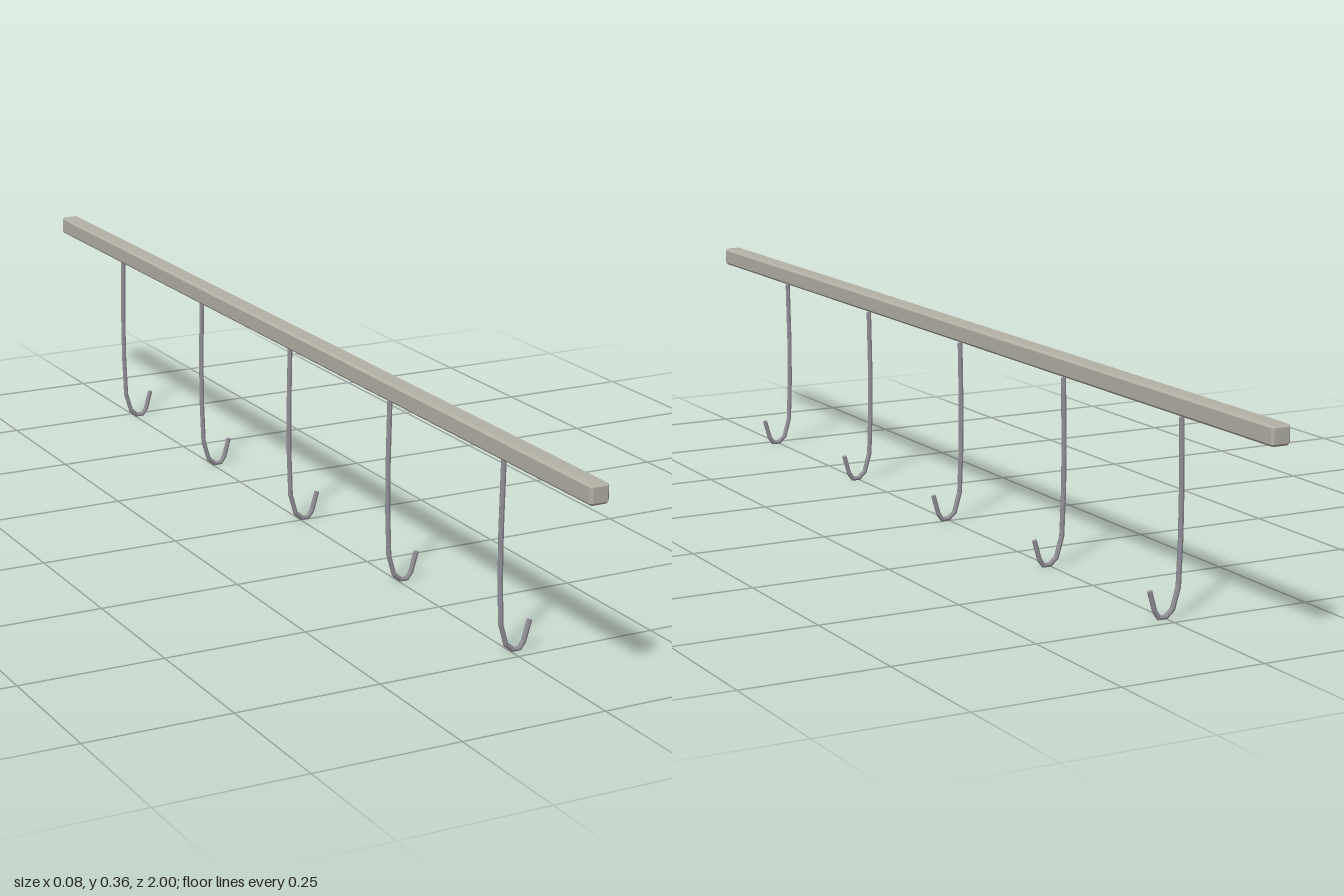
import * as THREE from 'three';
import { ConvexGeometry } from 'three/addons/geometries/ConvexGeometry.js';

const WIRE = 0.0045, SIDES = 8;

// Side profile of a hook's wire, from the top end to the tip
const HOOK = [
  [-0.0215, 0.325], [-0.0238, 0.21], [-0.0235, 0.13], [-0.0207, 0.052], [-0.0105, 0.0165],
  [0.002, 0.0055], [0.0145, 0.0055], [0.0225, 0.0165], [0.0325, 0.051],
].map(([x, y]) => new THREE.Vector3(x, y, 0));

// Straight segments with mitred corners, one tube ring per point
class Polyline extends THREE.Curve {
  constructor(points) { super(); this.points = points; }
  getPoint(t) {
    const n = this.points.length - 1, i = Math.min(Math.floor(t * n + 1e-6), n - 1);
    return this.points[i].clone().lerp(this.points[i + 1], t * n - i);
  }
  getPointAt(t) { return this.getPoint(t); }
  getTangentAt(t) {
    const n = this.points.length - 1, i = Math.round(t * n), p = this.points;
    const dir = (k) => p[k + 1].clone().sub(p[k]).normalize();
    return dir(Math.max(i - 1, 0)).add(dir(Math.min(i, n - 1))).normalize();
  }
}

// Box with every edge chamfered
function chamferedBox(w, h, d, c) {
  const points = [];
  for (const x of [-1, 1]) for (const y of [-1, 1]) for (const z of [-1, 1]) {
    for (let flush = 0; flush < 3; flush++) {
      const inset = [0, 1, 2].map((axis) => (axis === flush ? 0 : c));
      points.push(new THREE.Vector3(
        x * (w / 2 - inset[0]), y * (h / 2 - inset[1]), z * (d / 2 - inset[2])));
    }
  }
  return new ConvexGeometry(points);
}

export function createModel() {
  const group = new THREE.Group();
  const railMaterial = new THREE.MeshStandardMaterial({ color: 0xb3b1a4, flatShading: true });
  const hookMaterial = new THREE.MeshStandardMaterial({ color: 0x918f97, flatShading: true });

  // Rail running front to back
  const rail = new THREE.Mesh(chamferedBox(0.034, 0.033, 2, 0.004), railMaterial);
  rail.name = 'rail';
  rail.position.set(-0.0215, 0.3475, 0);
  group.add(rail);

  // Five bent wire hooks, each closed with end caps
  const path = new Polyline(HOOK);
  const wireGeometry = new THREE.TubeGeometry(path, HOOK.length - 1, WIRE, SIDES, false);
  const capGeometry = new THREE.CircleGeometry(WIRE, SIDES);
  const forward = new THREE.Vector3(0, 0, 1);
  for (let i = -2; i <= 2; i++) {
    const hook = new THREE.Group();
    hook.name = 'hook';
    const wire = new THREE.Mesh(wireGeometry, hookMaterial);
    wire.name = 'hookWire';
    hook.add(wire);
    for (const end of [0, 1]) {
      const cap = new THREE.Mesh(capGeometry, hookMaterial);
      cap.name = end ? 'hookTip' : 'hookTop';
      cap.position.copy(path.getPoint(end));
      const outward = path.getTangentAt(end).multiplyScalar(end ? 1 : -1);
      cap.quaternion.setFromUnitVectors(forward, outward);
      hook.add(cap);
    }
    hook.position.z = i * 0.364;
    group.add(hook);
  }
  return group;
}
